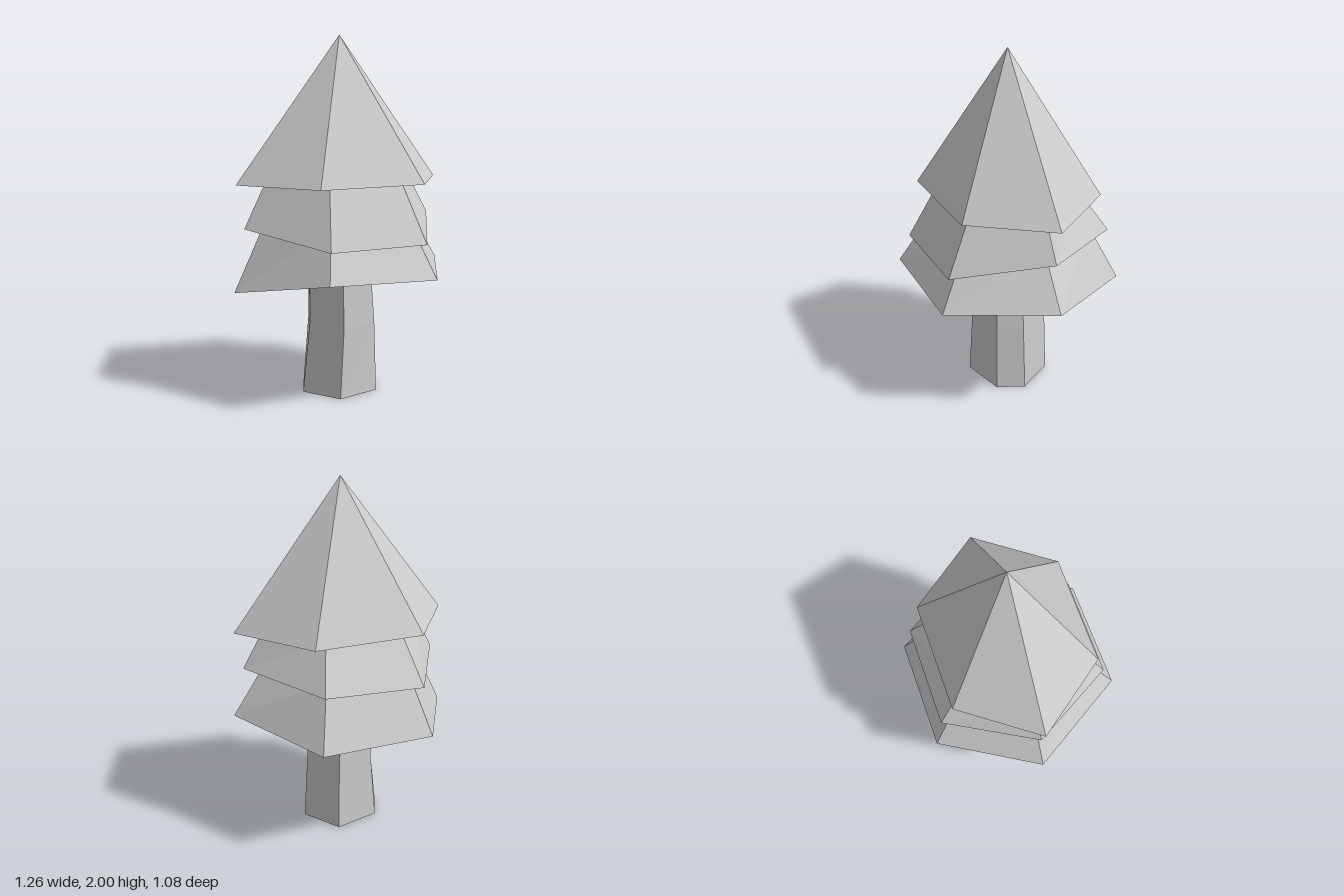
import * as THREE from 'three';

const material = new THREE.MeshStandardMaterial({ color: 0xcccccc, flatShading: true, side: THREE.DoubleSide });

// Joins six-sided rings from bottom to top; bottom and top are optional centre points that close the ends.
function loft(name, rings, bottom, top) {
  const pos = [];
  const tri = (...points) => points.forEach((p) => pos.push(...p));
  const last = rings[rings.length - 1];
  for (let i = 0; i < 6; i++) {
    const j = (i + 1) % 6;
    for (let r = 0; r < rings.length - 1; r++) {
      const lo = rings[r], hi = rings[r + 1];
      tri(lo[i], hi[i], lo[j]);
      tri(hi[i], hi[j], lo[j]);
    }
    if (bottom) tri(rings[0][i], rings[0][j], bottom);
    if (top) tri(last[i], top, last[j]);
  }
  const geometry = new THREE.BufferGeometry();
  geometry.setAttribute('position', new THREE.Float32BufferAttribute(pos, 3));
  geometry.computeVertexNormals();
  const mesh = new THREE.Mesh(geometry, material);
  mesh.name = name;
  return mesh;
}

// Hexagon with points on the x axis; heights run right, front right, front left, left, back left, back right.
function hexRing(rx, cornerX, cornerZ, heights) {
  const xz = [[rx, 0], [cornerX, cornerZ], [-cornerX, cornerZ], [-rx, 0], [-cornerX, -cornerZ], [cornerX, -cornerZ]];
  return xz.map(([x, z], i) => [x, Array.isArray(heights) ? heights[i] : heights, z]);
}

// Turned trunk hexagon: three corners, mirrored through a centre shifted along x.
function trunkRing(y, cx, corners) {
  return [...corners, ...corners.map(([x, z]) => [-x, -z])].map(([x, z]) => [x + cx, y, z]);
}

export function createModel() {
  const tree = new THREE.Group();
  tree.name = 'tree';

  // Bent trunk, open at both ends
  tree.add(loft('trunk', [
    trunkRing(0, 0, [[0.228, 0], [0.16, 0.15], [-0.095, 0.21]]),
    trunkRing(0.4, 0.01, [[0.195, 0], [0.14, 0.143], [-0.077, 0.198]]),
    trunkRing(0.71, 0, [[0.185, 0], [0.13, 0.135], [-0.07, 0.188]]),
  ]));

  // Lower and middle foliage with uneven hems
  tree.add(loft('lowerFoliage', [
    hexRing(0.632, 0.317, 0.542, [0.72, 0.7, 0.725, 0.615, 0.66, 0.66]),
    hexRing(0.447, 0.235, 0.38, 1),
  ], [0, 0.69, 0], [0, 1, 0]));
  tree.add(loft('middleFoliage', [
    hexRing(0.57, 0.284, 0.487, [0.99, 0.885, 0.885, 0.96, 0.93, 0.96]),
    hexRing(0.45, 0.217, 0.33, 1.2),
  ], [0, 0.94, 0]));

  // Pointed top with a level hem
  tree.add(loft('topFoliage', [hexRing(0.615, 0.308, 0.415, 1.2)], [0, 1.2, 0], [0, 2, 0]));
  return tree;
}
